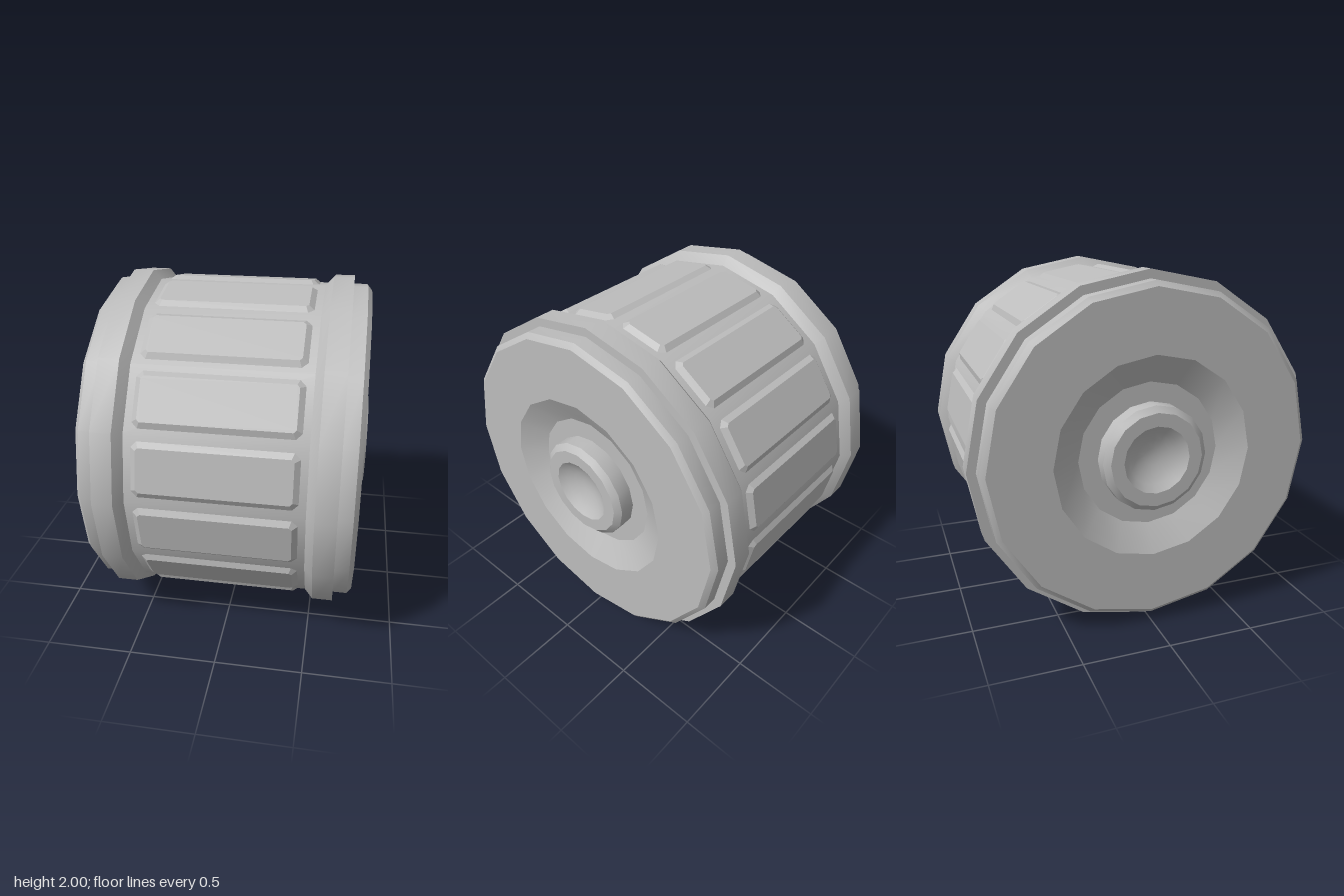
import * as THREE from 'three';
import { toCreasedNormals } from 'three/addons/utils/BufferGeometryUtils.js';

const SIDES = 16;

// Revolve [distance along x, radius] pairs round the x axis, keeping profile corners sharp
function turned(profile) {
  const points = profile.map(([x, r]) => new THREE.Vector2(r, x));
  const geometry = new THREE.LatheGeometry(points, SIDES);
  geometry.rotateZ(-Math.PI / 2);
  return toCreasedNormals(geometry, 0.46);
}

// Flat pad with bevelled edges and clipped corners, lying in xy with its top at z = 0
function padGeometry() {
  const x = 0.41, w = 0.122, c = 0.015, t = 0.025, depth = 0.02;
  const shape = new THREE.Shape([
    [-x + c, -w], [x - c, -w], [x, -w + c], [x, w - c],
    [x - c, w], [-x + c, w], [-x, w - c], [-x, -w + c],
  ].map(([a, b]) => new THREE.Vector2(a, b)));
  const geometry = new THREE.ExtrudeGeometry(shape, {
    depth, bevelEnabled: true, bevelThickness: t, bevelSize: 0.032, bevelSegments: 1,
  });
  geometry.translate(0, 0, -depth - t);
  return geometry;
}

export function createModel() {
  const model = new THREE.Group();
  model.name = 'ribbedDrum';
  const grey = new THREE.MeshStandardMaterial({ color: 0xbcbcbc });
  grey.name = 'grey';

  const drum = new THREE.Group();
  drum.name = 'drum';
  drum.position.y = 1;
  model.add(drum);

  const add = (parent, geometry, name) => {
    const mesh = new THREE.Mesh(geometry, grey);
    mesh.name = name;
    parent.add(mesh);
    return mesh;
  };

  // Central barrel
  add(drum, turned([[-0.5, 0.95], [0.5, 0.95]]), 'barrel');

  // Raised pads, one on each side of the barrel
  const pad = padGeometry();
  for (let i = 0; i < SIDES; i++) {
    const holder = new THREE.Group();
    holder.name = 'padHolder';
    holder.rotation.x = ((i + 0.5) / SIDES) * Math.PI * 2;
    add(holder, pad, 'pad').position.z = 0.955;
    drum.add(holder);
  }

  // Rim, stepped end plate and dished recess
  const endCap = turned([
    [0.475, 0.945], [0.525, 1], [0.64, 1], [0.64, 0.95], [0.72, 0.95],
    [0.745, 0.92], [0.745, 0.57], [0.66, 0.41], [0.66, 0.29],
  ]);
  // Hub with a chamfered edge and a round hollow
  const hub = turned([
    [0.65, 0.3], [0.745, 0.3], [0.775, 0.265], [0.775, 0.19],
    [0.745, 0.15], [0.722, 0.1], [0.709, 0.05], [0.705, 0],
  ]);
  for (const side of ['left', 'right']) {
    const end = new THREE.Group();
    end.name = side + 'End';
    if (side === 'right') end.rotation.y = Math.PI;
    add(end, endCap, 'endCap');
    add(end, hub, 'hub');
    drum.add(end);
  }

  return model;
}
